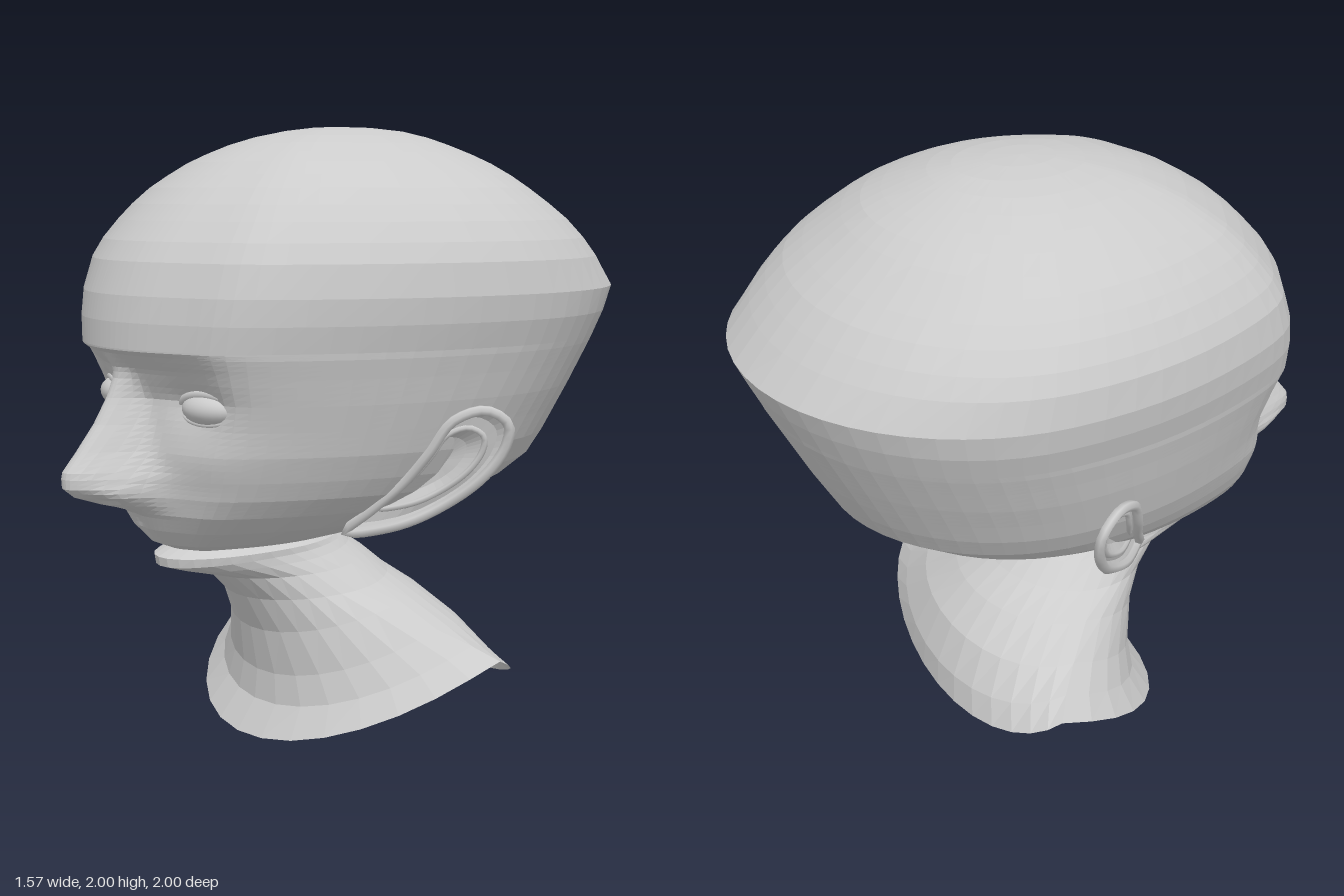
import * as THREE from 'three';

const V = (x, y, z) => new THREE.Vector3(x, y, z);
const material = new THREE.MeshStandardMaterial({ color: 0xcccccc, flatShading: true });
const thin = new THREE.MeshStandardMaterial({ color: 0xcccccc, flatShading: true, side: THREE.DoubleSide });
const smooth = new THREE.MeshStandardMaterial({ color: 0xcccccc });

// Skin a stack of closed rings that all have the same number of points
function loft(rings) {
  const n = rings[0].length, index = [];
  for (let r = 0; r < rings.length - 1; r++) {
    for (let i = 0; i < n; i++) {
      const j = (i + 1) % n, a = r * n, b = a + n;
      index.push(a + i, a + j, b + j, a + i, b + j, b + i);
    }
  }
  const geometry = new THREE.BufferGeometry().setFromPoints(rings.flat());
  geometry.setIndex(index);
  geometry.computeVertexNormals();
  return geometry;
}

function mesh(name, geometry, mat = material) {
  const m = new THREE.Mesh(geometry, mat);
  m.name = name;
  return m;
}

// Straight-line lookup in a list of [y, value] stops
function ramp(stops, y) {
  if (y <= stops[0][0]) return stops[0][1];
  for (let i = 1; i < stops.length; i++) {
    const [y0, v0] = stops[i - 1], [y1, v1] = stops[i];
    if (y <= y1) return v0 + (v1 - v0) * (y - y0) / (y1 - y0);
  }
  return stops[stops.length - 1][1];
}

const bump = (x, y, cx, cy, sx, sy) => Math.exp(-(((x - cx) / sx) ** 2) - ((y - cy) / sy) ** 2);

// Skull levels: height, front z, back z, half width, z of the widest point
const LEVELS = [
  [0.66, 0.62, 0, 0.17, 0.3], [0.685, 0.68, -0.14, 0.24, 0.25], [0.74, 0.73, -0.33, 0.36, 0.12],
  [0.8, 0.76, -0.49, 0.46, 0.02], [0.86, 0.77, -0.62, 0.53, -0.05], [0.92, 0.77, -0.72, 0.575, -0.08],
  [1, 0.78, -0.765, 0.62, -0.1], [1.08, 0.79, -0.81, 0.65, -0.12], [1.16, 0.81, -0.85, 0.68, -0.15],
  [1.24, 0.838, -0.89, 0.705, -0.18], [1.3, 0.858, -0.92, 0.725, -0.2], [1.32, 0.86, -0.928, 0.73, -0.21],
  [1.4, 0.857, -0.965, 0.757, -0.22], [1.48, 0.843, -1, 0.77, -0.22], [1.58, 0.805, -0.915, 0.757, -0.2],
  [1.64, 0.765, -0.86, 0.73, -0.19], [1.7, 0.71, -0.8, 0.69, -0.17], [1.75, 0.66, -0.735, 0.645, -0.15],
  [1.8, 0.6, -0.665, 0.592, -0.13], [1.84, 0.54, -0.61, 0.535, -0.12], [1.88, 0.475, -0.55, 0.465, -0.1],
  [1.91, 0.41, -0.485, 0.405, -0.09], [1.94, 0.335, -0.41, 0.335, -0.08], [1.965, 0.25, -0.345, 0.26, -0.07],
  [1.985, 0.15, -0.27, 0.175, -0.06], [1.996, 0.06, -0.17, 0.09, -0.05],
];
const BROW_LEVEL = 11;
const NOSE_HEIGHT = [[0.79, 0], [0.81, 0.04], [0.83, 0.11], [0.86, 0.19], [0.89, 0.225], [0.935, 0.228],
  [1, 0.18], [1.08, 0.13], [1.16, 0.09], [1.22, 0.04], [1.3, 0]];
const NOSE_WIDTH = [[0.92, 0.105], [1.0, 0.08], [1.15, 0.055], [1.3, 0.045]];
const BROW_RECESS = [[0.92, 0], [1, 0.015], [1.08, 0.035], [1.16, 0.06], [1.25, 0.055], [1.3, 0.02], [1.315, 0]];

// Relief of the face: nose, wings, nostrils, brow shelf, eye sockets, cheeks and philtrum
function relief(x, y) {
  const a = Math.abs(x);
  return ramp(NOSE_HEIGHT, y) * Math.exp(-((a / ramp(NOSE_WIDTH, y)) ** 2.5))
    - ramp(BROW_RECESS, y) * Math.exp(-((a / 0.38) ** 4))
    + 0.03 * bump(a, y, 0.1, 0.875, 0.03, 0.03)
    - 0.045 * bump(a, y, 0.05, 0.845, 0.025, 0.02)
    - 0.025 * bump(a, y, 0.26, 1.16, 0.12, 0.06)
    + 0.015 * bump(a, y, 0.32, 0.98, 0.13, 0.08)
    - 0.012 * bump(a, y, 0, 0.76, 0.025, 0.04);
}

function buildHead() {
  const half = 40, rings = [];
  const addRing = ([y, front, back, width, mid]) => {
    const ring = [];
    for (let i = -half; i < half; i++) {
      // points gather towards the face
      const angle = Math.sign(i) * Math.PI * Math.abs(i / half) ** 1.6;
      const s = Math.sin(angle), c = Math.cos(angle), x = width * s;
      // the front corners of the skull are a little fuller than an ellipse
      const fullness = 0.045 * Math.exp(-(((Math.abs(s) - 0.65) / 0.16) ** 2));
      const z = c > 0 ? mid + (front - mid) * (c + fullness) + relief(x, y) : mid + (mid - back) * c;
      ring.push(V(x, y, z));
    }
    rings.push(ring);
  };
  LEVELS.forEach((level, k) => {
    // fine rows on the face, plain levels on the dome
    const steps = k < BROW_LEVEL ? 4 : 1;
    const next = LEVELS[Math.min(k + 1, LEVELS.length - 1)];
    for (let j = 0; j < steps; j++) addRing(level.map((v, c) => v + (next[c] - v) * j / steps));
  });
  const cap = (y, z) => Array.from({ length: half * 2 }, () => V(0, y, z));
  return mesh('head', loft([cap(0.66, 0.3), ...rings, cap(2, -0.05)]));
}

// Neck rings, bottom to top: front y z, side x y z, back y z
const NECK = [
  [0, 0.38, 0.66, 0.3, -0.2, 0.14, -0.44], [0.1, 0.31, 0.58, 0.34, -0.15, 0.23, -0.43],
  [0.2, 0.3, 0.49, 0.385, -0.08, 0.36, -0.37], [0.35, 0.325, 0.375, 0.45, 0.02, 0.46, -0.27],
  [0.47, 0.38, 0.29, 0.5, 0.1, 0.53, -0.17], [0.55, 0.46, 0.235, 0.565, 0.17, 0.59, -0.1],
  [0.585, 0.6, 0.21, 0.605, 0.24, 0.63, -0.04], [0.605, 0.665, 0.2, 0.63, 0.28, 0.65, -0.02],
  [0.635, 0.67, 0.2, 0.65, 0.3, 0.66, 0], [0.665, 0.61, 0.18, 0.665, 0.3, 0.67, 0.01],
];

function buildNeck() {
  const n = 32;
  return mesh('neckAndLowerLip', loft(NECK.map(([fy, fz, sx, sy, sz, by, bz]) =>
    Array.from({ length: n }, (_, i) => {
      const angle = (i / n) * Math.PI * 2, c = Math.cos(angle);
      const [ey, ez] = c > 0 ? [fy, fz] : [by, bz];
      return V(sx * Math.sin(angle), sy + (ey - sy) * Math.abs(c) ** 1.2, sz + (ez - sz) * Math.abs(c));
    }))), thin);
}

function buildEar() {
  const ear = new THREE.Group();
  const outline = [
    V(0.37, 0.72, 0.21), V(0.5, 0.75, 0.1), V(0.6, 0.82, -0.01), V(0.7, 0.92, -0.09),
    V(0.755, 1.02, -0.13), V(0.77, 1.09, -0.125), V(0.74, 1.135, -0.06), V(0.68, 1.1, 0.025),
    V(0.625, 1, 0.07), V(0.55, 0.9, 0.11), V(0.455, 0.8, 0.17),
  ];
  const centre = V(0.63, 0.96, 0);
  const edge = new THREE.CatmullRomCurve3(outline, true);
  const loop = (scale, sink) => edge.getPoints(36).slice(0, 36).map((p) => {
    const q = p.clone().lerp(centre, 1 - scale);
    q.x -= sink;
    return q;
  });
  const tube = (points, radius) => new THREE.TubeGeometry(
    new THREE.CatmullRomCurve3(points, true), 48, radius, 6, true);
  // dished shell with a rolled rim and an inner fold
  ear.add(mesh('earShell', loft([loop(1, 0), loop(0.85, 0.02), loop(0.65, 0.015), loop(0.45, 0.045), loop(0, 0.06)]), thin));
  ear.add(mesh('earRim', tube(loop(0.98, 0), 0.017), smooth));
  ear.add(mesh('earFold', tube(loop(0.65, 0.018), 0.01), smooth));
  return ear;
}

function buildEye() {
  const eye = new THREE.Group();
  const ball = mesh('eyeball', new THREE.SphereGeometry(1, 24, 16), smooth);
  ball.scale.set(0.102, 0.052, 0.07);
  eye.add(ball);
  // lids follow an almond around the ball
  const lid = (name, height, radius) => {
    const points = Array.from({ length: 9 }, (_, i) => {
      const a = (i / 8) * Math.PI;
      return V(0.108 * Math.cos(a), height * Math.sin(a), 0.005 + 0.03 * Math.sin(a));
    });
    eye.add(mesh(name, new THREE.TubeGeometry(new THREE.CatmullRomCurve3(points), 20, radius, 6), smooth));
  };
  lid('upperLid', 0.048, 0.013);
  lid('lowerLid', -0.044, 0.008);
  eye.position.set(0.287, 1.14, 0.638);
  eye.rotation.y = 0.35;
  return eye;
}

export function createModel() {
  const model = new THREE.Group();
  model.name = 'headBust';
  model.add(buildHead(), buildNeck());
  // paired features
  for (const [side, sign] of [['left', 1], ['right', -1]]) {
    for (const [part, build] of [['Ear', buildEar], ['Eye', buildEye]]) {
      const holder = new THREE.Group();
      holder.name = side + part;
      holder.add(build());
      holder.scale.x = sign;
      model.add(holder);
    }
  }
  return model;
}
